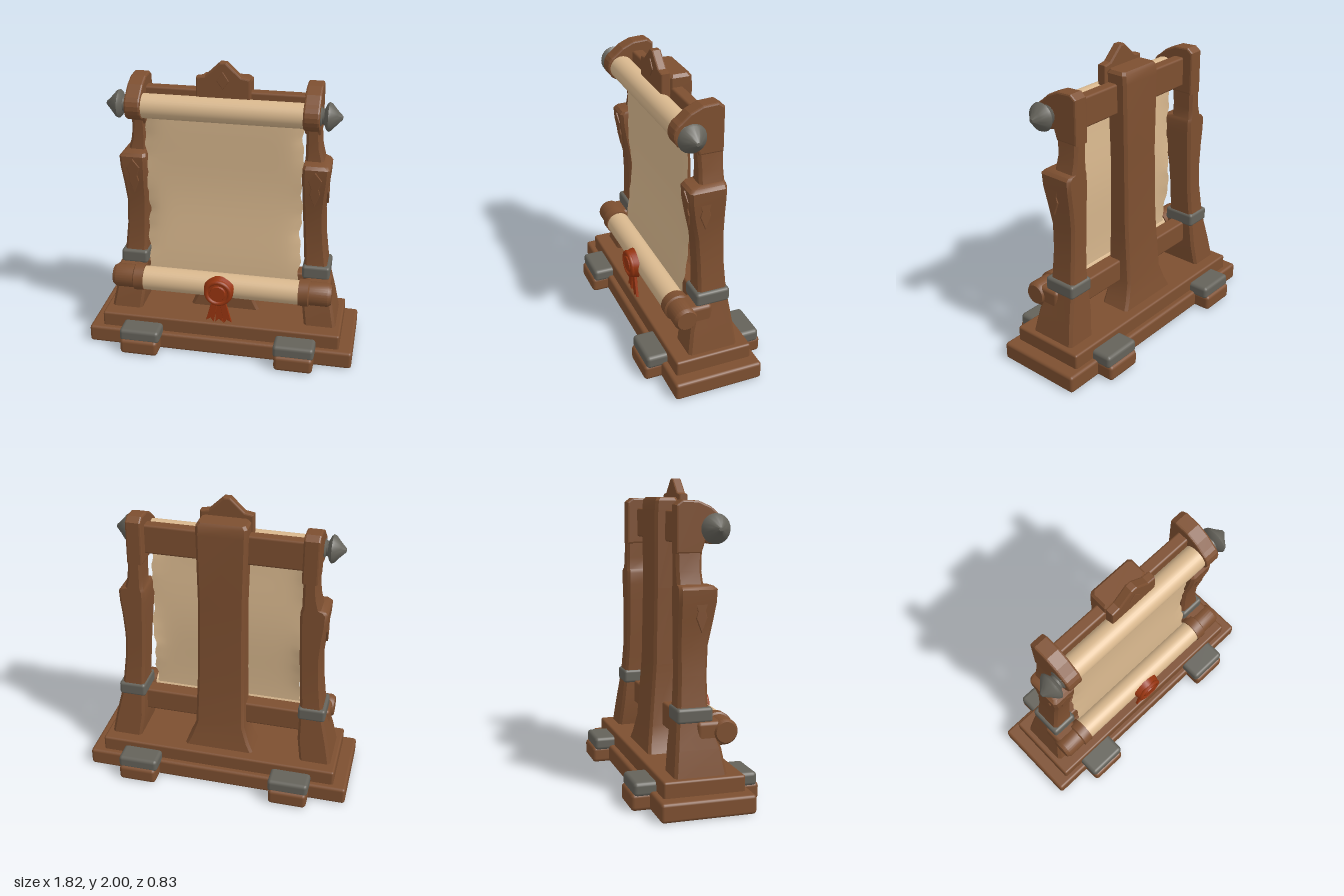
import * as THREE from 'three';
import { toCreasedNormals } from 'three/addons/utils/BufferGeometryUtils.js';
import { RoundedBoxGeometry } from 'three/addons/geometries/RoundedBoxGeometry.js';

const material = (name, color, side = THREE.FrontSide) => {
  const m = new THREE.MeshStandardMaterial({ color, side });
  m.name = name;
  return m;
};
const wood = material('wood', 0x7d4f30);
const metal = material('dull iron', 0x64625a);
const paper = material('parchment', 0xd9b88e, THREE.DoubleSide);
const wax = material('red wax', 0x983510);

export function createModel() {
  const root = new THREE.Group();
  root.name = 'scrollStand';

  const add = (name, geometry, mat) => {
    const mesh = new THREE.Mesh(geometry, mat);
    mesh.name = name;
    root.add(mesh);
    return mesh;
  };

  // Box given by its limits on each axis, with softened edges
  const block = (name, mat, [x0, x1], [y0, y1], [z0, z1], r = 0.015) =>
    add(name, new RoundedBoxGeometry(Math.abs(x1 - x0), y1 - y0, z1 - z0, 2, r), mat)
      .position.set((x0 + x1) / 2, (y0 + y1) / 2, (z0 + z1) / 2);

  // Bevelled timber through cross-sections [y, x0, x1, z0, z1], s mirrors it in x
  const timber = (name, sections, s = 1, b = 0.018) => {
    const pos = [], index = [];
    for (const [y, xa, xb, z0, z1] of sections) {
      const x0 = Math.min(xa * s, xb * s), x1 = Math.max(xa * s, xb * s);
      pos.push(x0 + b, y, z1, x1 - b, y, z1, x1, y, z1 - b, x1, y, z0 + b,
        x1 - b, y, z0, x0 + b, y, z0, x0, y, z0 + b, x0, y, z1 - b);
    }
    const last = (sections.length - 1) * 8;
    for (let i = 0; i < last; i += 8) {
      for (let j = 0; j < 8; j++) {
        const a = i + j, c = i + (j + 1) % 8;
        index.push(a, c, c + 8, a, c + 8, a + 8);
      }
    }
    for (let j = 1; j < 7; j++) index.push(last, last + j, last + j + 1, 0, j + 1, j);
    const g = new THREE.BufferGeometry();
    g.setAttribute('position', new THREE.Float32BufferAttribute(pos, 3));
    g.setIndex(index);
    return add(name, toCreasedNormals(g, 0.6), wood);
  };

  const plate = (points, depth, bevel) => new THREE.ExtrudeGeometry(
    new THREE.Shape(points.map(p => new THREE.Vector2(...p))),
    { depth, bevelEnabled: bevel > 0, bevelSize: bevel, bevelThickness: bevel, bevelOffset: -bevel, bevelSegments: 2 });

  // Lathe laid along x, profile points are [radius, distance from the middle]
  const turned = (name, mat, points, s, y, z) => {
    const g = new THREE.LatheGeometry(points.map(p => new THREE.Vector2(...p)), 28);
    const mesh = add(name, toCreasedNormals(g, 0.6), mat);
    mesh.rotation.z = -s * Math.PI / 2;
    mesh.position.set(0, y, z);
  };

  // Stepped base
  block('lowerBase', wood, [-0.91, 0.91], [0, 0.12], [-0.3, 0.3], 0.02);
  block('upperBase', wood, [-0.82, 0.82], [0.1, 0.22], [-0.26, 0.26]);

  // Feet with iron caps, front and back
  for (const s of [1, -1]) {
    for (const f of [1, -1]) {
      const z = (a, b) => [Math.min(a * f, b * f), Math.max(a * f, b * f)];
      block('foot', wood, [s * 0.40, s * 0.66], [0, 0.11], z(0.2, 0.415), 0.025);
      block('footCap', metal, [s * 0.39, s * 0.665], [0.09, 0.18], z(0.24, 0.4), 0.025);
    }
  }

  // Central back post, flaring at the base
  timber('backPost', [
    [0.2, -0.25, 0.25, -0.19, 0.03], [0.28, -0.21, 0.21, -0.175, 0.03],
    [0.4, -0.17, 0.17, -0.155, 0.03], [0.8, -0.16, 0.16, -0.125, 0.03],
    [1.3, -0.155, 0.155, -0.115, 0.03], [1.8, -0.165, 0.165, -0.115, 0.04],
    [1.86, -0.165, 0.165, -0.11, 0.04], [1.88, -0.15, 0.15, -0.095, 0.03]]);

  // Cross rails
  block('upperRail', wood, [-0.56, 0.56], [1.6, 1.8], [-0.05, 0.03]);
  block('lowerRail', wood, [-0.6, 0.6], [0.39, 0.55], [-0.07, 0.04]);

  // Peaked crest with a raised diamond
  add('crest', plate([[-0.175, 1.74], [0.175, 1.74], [0.172, 1.9], [0.115, 1.91],
    [0.02, 2], [-0.02, 2], [-0.115, 1.91], [-0.172, 1.9]], 0.042, 0.01), wood).position.z = 0.049;
  add('crestDiamond', plate([[0, 1.83], [0.04, 1.885], [0, 1.945], [-0.04, 1.885]], 0.004, 0.004), wood)
    .position.z = 0.1;

  // Carved leaf outline used on the posts
  const leaf = [[0, -0.13], [0.035, -0.04], [0.025, 0], [0.045, 0.06], [0, 0.12],
    [-0.045, 0.06], [-0.025, 0], [-0.035, -0.04]];

  for (const s of [1, -1]) {
    // Side post
    timber('sidePost', [
      [0.2, 0.57, 0.785, -0.18, 0.16], [0.38, 0.545, 0.75, -0.16, 0.13],
      [0.55, 0.545, 0.71, -0.14, 0.075], [0.65, 0.545, 0.695, -0.13, 0.06],
      [0.82, 0.535, 0.675, -0.12, 0.06], [1, 0.525, 0.665, -0.12, 0.07],
      [1.15, 0.52, 0.675, -0.12, 0.1], [1.26, 0.515, 0.688, -0.12, 0.118],
      [1.34, 0.515, 0.692, -0.12, 0.122], [1.36, 0.52, 0.675, -0.12, 0.105],
      [1.37, 0.525, 0.645, -0.12, 0.045], [1.45, 0.525, 0.625, -0.12, 0.04],
      [1.62, 0.525, 0.61, -0.12, 0.05]], s);

    // Carved relief on the front and the outer face
    const front = add('frontCarving', plate(leaf, 0.008, 0.004), wood);
    front.position.set(s * 0.6, 1.21, 0.106);
    front.rotation.x = 0.12;
    const outer = add('sideCarving', plate(leaf, 0.008, 0.004), wood);
    outer.position.set(s * 0.675, 1.21, 0.02);
    outer.rotation.y = s * Math.PI / 2;

    // Post head, rounded at the front around the upper rod
    const head = [[-0.12, 1.55], [0.04, 1.55]];
    for (let i = 0; i <= 10; i++) {
      const a = -2.1 + i * 0.32;
      head.push([0.11 + 0.095 * Math.cos(a), 1.7 + 0.095 * Math.sin(a)]);
    }
    head.push([0.1, 1.83], [0.02, 1.865], [-0.08, 1.87], [-0.12, 1.84]);
    const g = plate(head, 0.08, 0.012);
    g.translate(0, 0, -0.04);
    g.rotateY(-Math.PI / 2);
    add('postHead', g, wood).position.x = s * 0.567;

    // Iron band
    block('postBand', metal, [s * 0.535, s * 0.72], [0.535, 0.63], [-0.145, 0.085], 0.02);

    // Pointed iron finial on the upper rod
    turned('finial', metal, [[0, 0.6], [0.062, 0.6], [0.062, 0.62], [0.048, 0.63], [0.05, 0.642],
      [0.08, 0.655], [0.092, 0.668], [0.085, 0.685], [0.045, 0.72], [0.012, 0.753], [0, 0.755]], s, 1.7, 0.11);

    // Lower rod end, its collar and the bracket reaching back to the post
    turned('lowerRodEnd', wood, [[0, 0.53], [0.09, 0.53], [0.092, 0.595], [0.08, 0.603],
      [0.08, 0.725], [0.065, 0.748], [0, 0.748]], s, 0.475, 0.16);
    block('rodBracket', wood, [s * 0.56, s * 0.735], [0.39, 0.545], [-0.02, 0.17], 0.025);
  }

  // Parchment rolls
  for (const [name, y, z, half, r] of [['upperRoll', 1.695, 0.108, 0.525, 0.08], ['lowerRoll', 0.472, 0.16, 0.535, 0.082]]) {
    const roll = add(name, new THREE.CylinderGeometry(r, r, half * 2, 32), paper);
    roll.rotation.z = Math.PI / 2;
    roll.position.set(0, y, z);
  }

  // Hanging sheet with worn, slightly curled sides
  const sheet = new THREE.PlaneGeometry(1.03, 1.2, 24, 40);
  const p = sheet.attributes.position;
  for (let i = 0; i < p.count; i++) {
    const u = p.getX(i) / 0.515, y = p.getY(i) + 1.08, edge = Math.abs(u) ** 10;
    const wear = 0.007 * Math.sin(y * 19 + u) + 0.006 * Math.sin(y * 47 + u * 2);
    const z = 0.082 + 0.012 * Math.cos((y - 0.5) * 5.2) - edge * (0.012 + 0.012 * Math.sin(y * 9));
    p.setXYZ(i, u * (0.515 + edge * wear), y, z);
  }
  sheet.computeVertexNormals();
  add('parchmentSheet', sheet, paper);

  // Wax seal: uneven disc, raised rim and inner boss
  const disc = new THREE.CylinderGeometry(0.09, 0.104, 0.05, 28);
  disc.rotateX(Math.PI / 2);
  const d = disc.attributes.position;
  for (let i = 0; i < d.count; i++) {
    const k = 1 + 0.03 * Math.sin(5 * Math.atan2(d.getY(i), d.getX(i)));
    d.setXY(i, d.getX(i) * k, d.getY(i) * k);
  }
  add('sealDisc', toCreasedNormals(disc, 0.6), wax).position.set(0, 0.472, 0.255);
  add('sealRim', new THREE.TorusGeometry(0.08, 0.016, 8, 28), wax).position.set(0, 0.472, 0.275);
  const boss = add('sealBoss', new THREE.CylinderGeometry(0.05, 0.056, 0.014, 20), wax);
  boss.rotation.x = Math.PI / 2;
  boss.position.set(0, 0.472, 0.284);

  // Ribbons with notched tails
  for (const [x, tilt, length, z] of [[-0.025, -0.22, 0.17, 0.235], [0.025, 0.22, 0.17, 0.24], [0, 0, 0.175, 0.225]]) {
    const ribbon = add('sealRibbon', plate([[-0.02, 0], [-0.027, -length], [0, -length + 0.025],
      [0.027, -length], [0.02, 0]], 0.012, 0.003), wax);
    ribbon.position.set(x, 0.4, z);
    ribbon.rotation.z = tilt;
  }
  return root;
}
